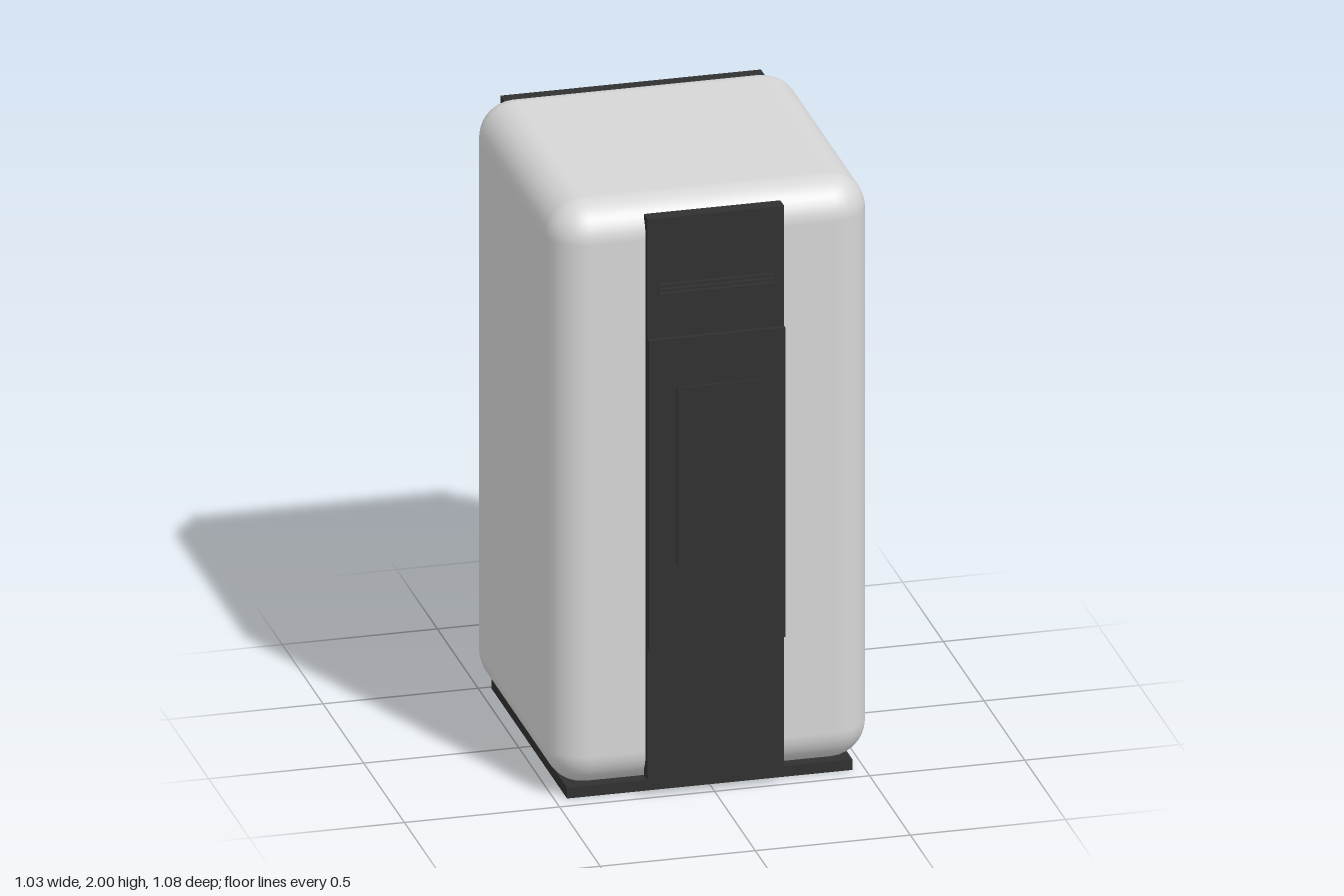
import * as THREE from 'three';
import { RoundedBoxGeometry } from 'three/addons/geometries/RoundedBoxGeometry.js';

export function createModel() {
  const model = new THREE.Group();
  model.name = 'cabinet';

  const shell = new THREE.MeshStandardMaterial({ color: 0xd6d6d6 });
  shell.name = 'light grey shell';
  const trim = new THREE.MeshStandardMaterial({ color: 0x303030 });
  trim.name = 'charcoal trim';

  const add = (name, geometry, material, x, y, z) => {
    const mesh = new THREE.Mesh(geometry, material);
    mesh.name = name;
    mesh.position.set(x, y, z);
    model.add(mesh);
  };

  // Box given by its half width and its y and z limits, centred on x
  const slab = (name, halfWidth, y0, y1, z0, z1) =>
    add(name, new THREE.BoxGeometry(halfWidth * 2, y1 - y0, z1 - z0), trim,
      0, (y0 + y1) / 2, (z0 + z1) / 2);

  // Rounded housing
  add('body', new RoundedBoxGeometry(1.03, 1.965, 1.03, 4, 0.12), shell, 0, 1.0175, -0.023);

  // Plinth under the housing
  slab('base', 0.46, 0, 0.036, -0.485, 0.44);

  // Back plate, sunk in the housing so only its long edges break out at the rounded corners
  slab('backPlate', 0.42, 0.05, 1.98, -0.53, -0.47);

  // Layered control strip on the front
  slab('frontStrip', 0.22, 0.065, 1.96, 0.47, 0.517);
  slab('middlePanel', 0.22, 0.51, 1.555, 0.517, 0.53);
  slab('display', 0.13, 0.79, 1.39, 0.53, 0.537);

  // Thin vent ribs near the top of the strip
  for (let i = 0; i < 3; i++) {
    const y = 1.706 + i * 0.015;
    slab('ventRib' + (i + 1), 0.185, y - 0.003, y + 0.003, 0.517, 0.53);
  }

  return model;
}
